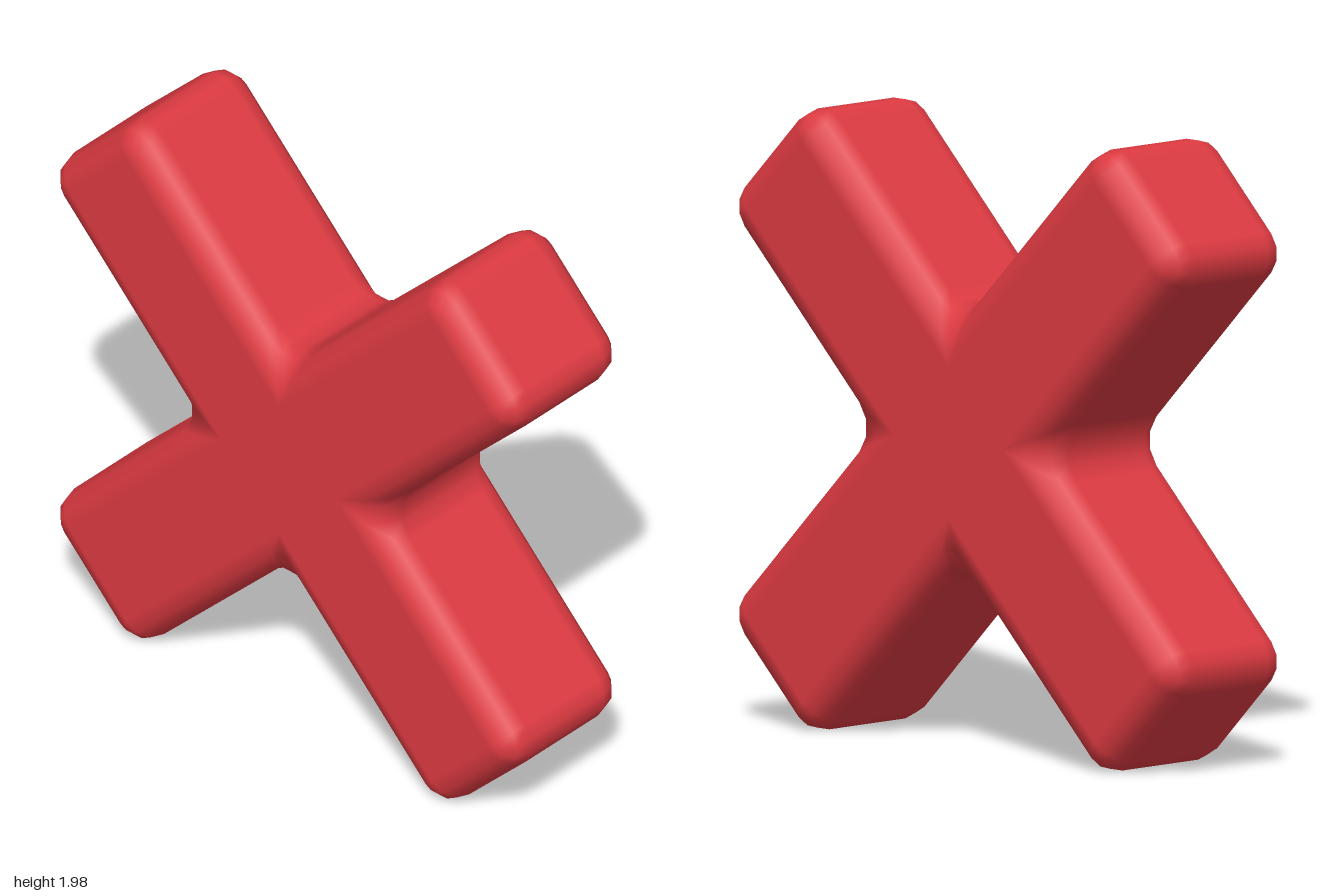
import * as THREE from 'three';

const W = 0.27;      // half width and half depth of a bar
const L = 1.19;      // arm length from the centre
const R = 0.1;       // edge rounding
const STEPS = 3;     // facets per rounded corner

// One closed outline of the cross, as [x, y, normal angle], swelled by d from the flat face
function outline(d) {
  const pts = [];
  const a = W - R, b = L - R, f = 1.3 * d, q = a + d + f;
  for (let k = 0; k < 4; k++) {
    const turn = Math.PI / 4 + k * Math.PI / 2;
    // centre u, centre v, signed radius, first normal, last normal
    const corners = [
      [b, -a, d, -90, 0],
      [b, a, d, 0, 90],
      [q, q, -f, 90, 0],
    ];
    for (const [cu, cv, r, n0, n1] of corners) {
      for (let i = 0; i <= STEPS; i++) {
        const n = THREE.MathUtils.degToRad(n0 + (n1 - n0) * i / STEPS);
        const u = cu + r * Math.cos(n), v = cv + r * Math.sin(n);
        pts.push([
          u * Math.cos(turn) - v * Math.sin(turn),
          u * Math.sin(turn) + v * Math.cos(turn),
          n + turn,
        ]);
      }
    }
  }
  return pts;
}

function crossGeometry() {
  const pos = [], nor = [], idx = [];
  const layers = [];
  for (const side of [1, -1]) {
    for (let i = 0; i <= STEPS; i++) {
      layers.push([side, (side > 0 ? i : STEPS - i) / STEPS * Math.PI / 2]);
    }
  }
  // Rounded rim, from the front face round to the back face
  let count = 0;
  for (const [side, t] of layers) {
    const ring = outline(R * Math.sin(t));
    count = ring.length;
    for (const [x, y, n] of ring) {
      pos.push(x, y, side * (W - R + R * Math.cos(t)));
      nor.push(Math.cos(n) * Math.sin(t), Math.sin(n) * Math.sin(t), side * Math.cos(t));
    }
  }
  const last = (layers.length - 1) * count;
  const front = layers.length * count, back = front + 1;
  for (let j = 0; j < count; j++) {
    const j2 = (j + 1) % count;
    for (let r = 0; r < layers.length - 1; r++) {
      const p = r * count, s = p + count;
      idx.push(p + j, s + j, s + j2, p + j, s + j2, p + j2);
    }
    // Flat faces as fans from the centre
    idx.push(front, j, j2, back, last + j2, last + j);
  }
  pos.push(0, 0, W, 0, 0, -W);
  nor.push(0, 0, 1, 0, 0, -1);

  const geo = new THREE.BufferGeometry();
  geo.setAttribute('position', new THREE.Float32BufferAttribute(pos, 3));
  geo.setAttribute('normal', new THREE.Float32BufferAttribute(nor, 3));
  geo.setIndex(idx);
  return geo;
}

export function createModel() {
  const red = new THREE.MeshStandardMaterial({ color: 0xdc3a41 });
  red.name = 'red';
  const cross = new THREE.Mesh(crossGeometry(), red);
  cross.name = 'diagonalCross';
  cross.rotation.y = THREE.MathUtils.degToRad(10);
  cross.position.y = 0.988;

  const model = new THREE.Group();
  model.name = 'crossMark';
  model.add(cross);
  return model;
}
